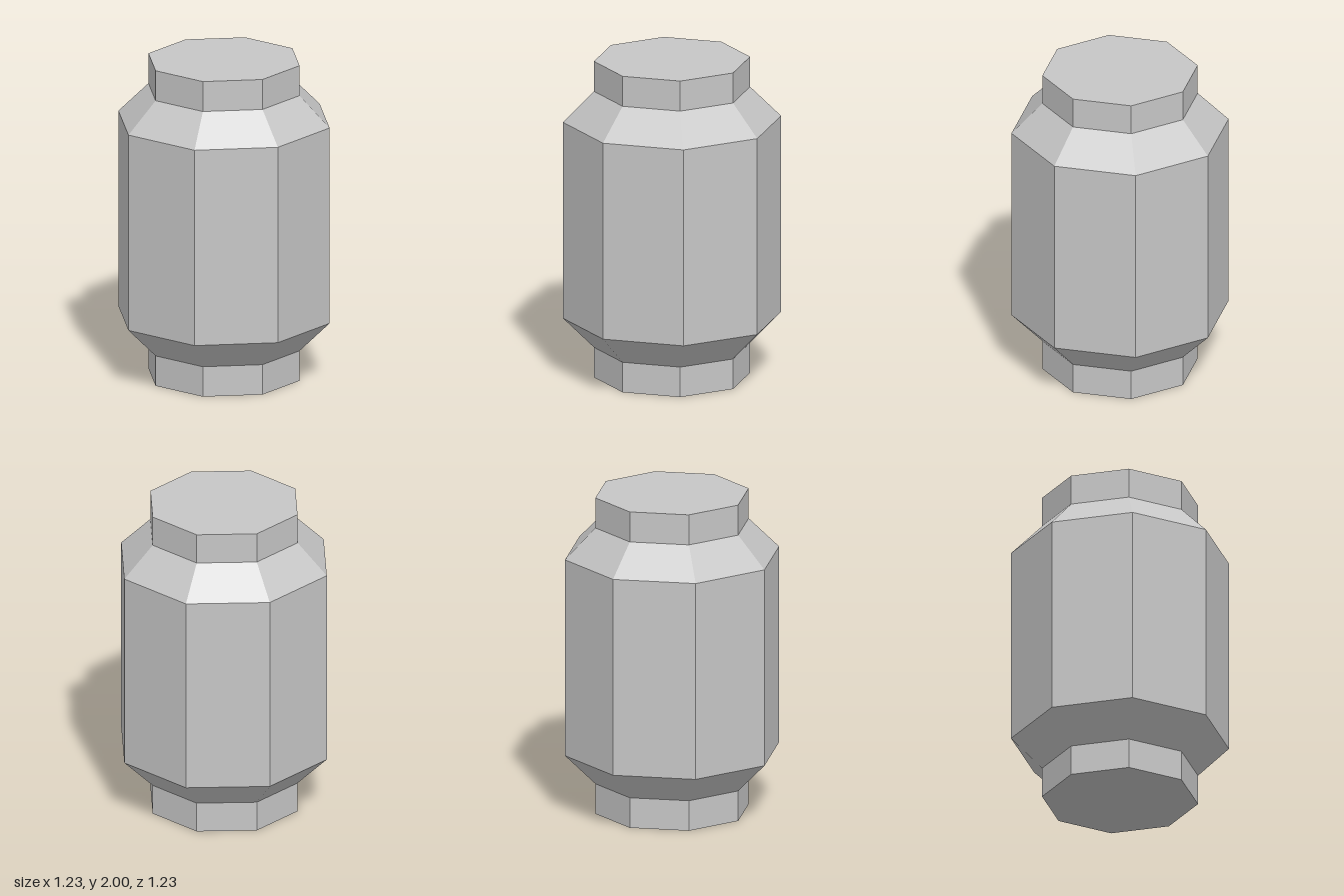
import * as THREE from 'three';

const SIDES = 8;
const NECK = 0.44 / Math.cos(Math.PI / SIDES);  // corner radii from flat-to-centre distances
const BODY = 0.615 / Math.cos(Math.PI / SIDES);

export function createModel() {
  const group = new THREE.Group();
  group.name = 'canister';
  const grey = new THREE.MeshStandardMaterial({ name: 'light grey', color: 0xc6c6c6, flatShading: true });

  // One open octagonal ring between two heights, flats facing the axes
  function ring(name, y0, y1, r0, r1) {
    const geo = new THREE.CylinderGeometry(r1, r0, y1 - y0, SIDES, 1, true, Math.PI / SIDES);
    const mesh = new THREE.Mesh(geo, grey);
    mesh.name = name;
    mesh.position.y = (y0 + y1) / 2;
    group.add(mesh);
  }

  // Flat octagonal end
  function cap(name, y, tilt) {
    const mesh = new THREE.Mesh(new THREE.CircleGeometry(NECK, SIDES, Math.PI / SIDES), grey);
    mesh.name = name;
    mesh.position.y = y;
    mesh.rotation.x = tilt;
    group.add(mesh);
  }

  cap('bottomCap', 0, Math.PI / 2);
  ring('bottomCollar', 0, 0.19, NECK, NECK);
  ring('lowerShoulder', 0.19, 0.38, NECK, BODY);
  ring('body', 0.38, 1.62, BODY, BODY);
  ring('upperShoulder', 1.62, 1.81, BODY, NECK);
  ring('topCollar', 1.81, 2, NECK, NECK);
  cap('topCap', 2, -Math.PI / 2);

  return group;
}
